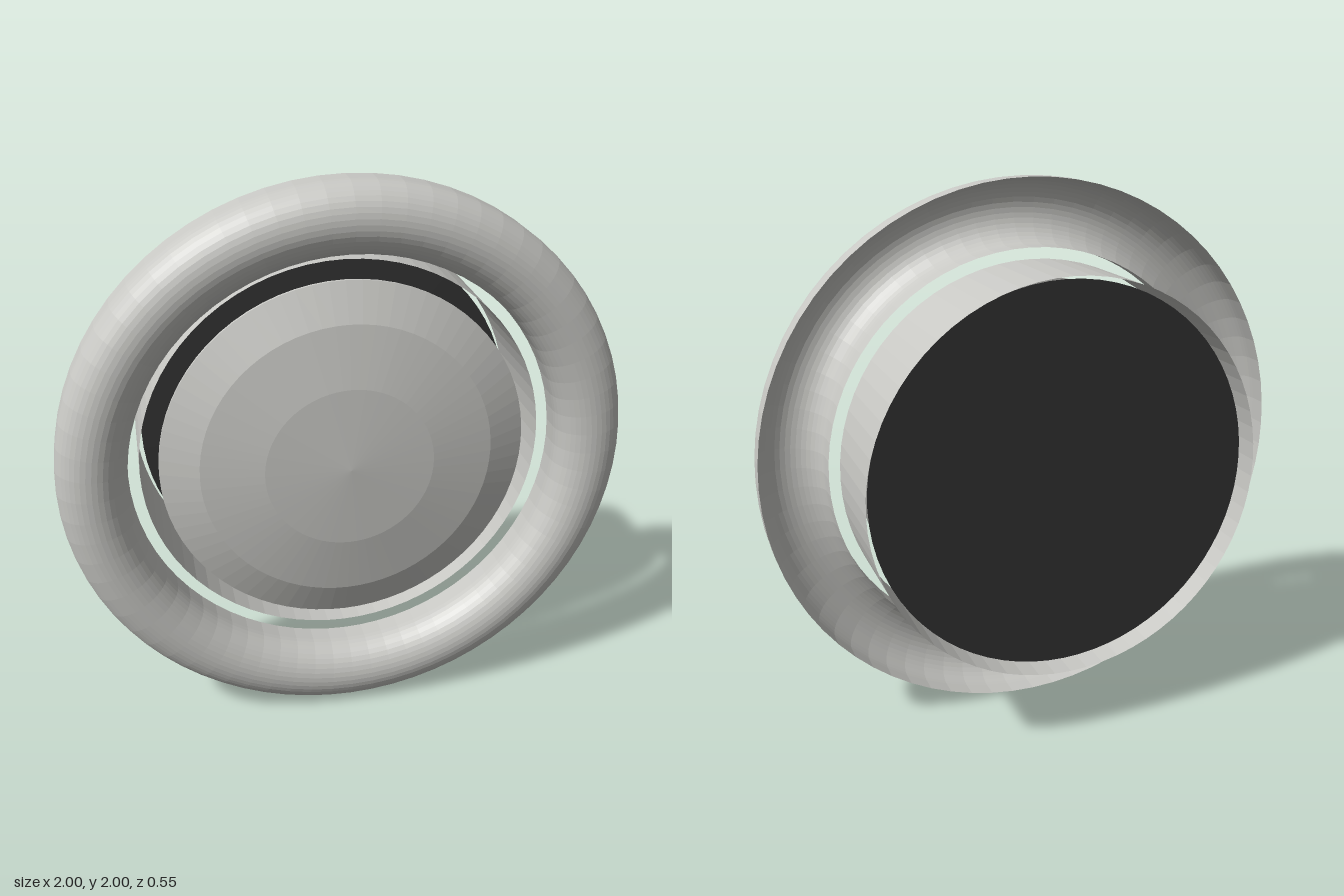
import * as THREE from 'three';

const SEGMENTS = 72;

export function createModel() {
  const model = new THREE.Group();
  const metal = new THREE.MeshStandardMaterial({ color: 0xc8c8c4, side: THREE.DoubleSide });
  metal.name = 'light grey metal';
  const dark = new THREE.MeshStandardMaterial({ color: 0x333333, side: THREE.DoubleSide });
  dark.name = 'dark grey';

  // Turns a [radius, z] profile about the front-back axis, with flat facets
  function turned(name, profile, material) {
    const points = profile.map(([r, z]) => new THREE.Vector2(r, z));
    const geometry = new THREE.LatheGeometry(points, SEGMENTS).rotateX(Math.PI / 2).toNonIndexed();
    geometry.computeVertexNormals();
    const mesh = new THREE.Mesh(geometry, material);
    mesh.name = name;
    mesh.position.y = 1;
    model.add(mesh);
  }

  // Outer ring: hollow shell, open at the back, with a rounded front
  const ring = [[1, 0.1]];
  const steps = 20;
  for (let i = 0; i <= steps; i++) {
    const a = (i / steps) * Math.PI;
    ring.push([0.88 + 0.12 * Math.cos(a), 0.165 + 0.11 * Math.sin(a)]);
  }
  ring.push([0.76, 0.1]);
  turned('outerRing', ring, metal);

  // Open sleeve behind the ring
  turned('sleeve', [[0.72, -0.275], [0.72, 0.1]], metal);

  // Dark disc recessed in the rear of the sleeve
  turned('rearDisc', [[0, -0.21], [0.7, -0.21]], dark);

  // Shallow domed plate in the middle, closed at the back
  turned('frontPlate', [[0, 0.11], [0.655, 0.11], [0.655, 0.12], [0.52, 0.175], [0.3, 0.21], [0, 0.225]], metal);

  return model;
}
